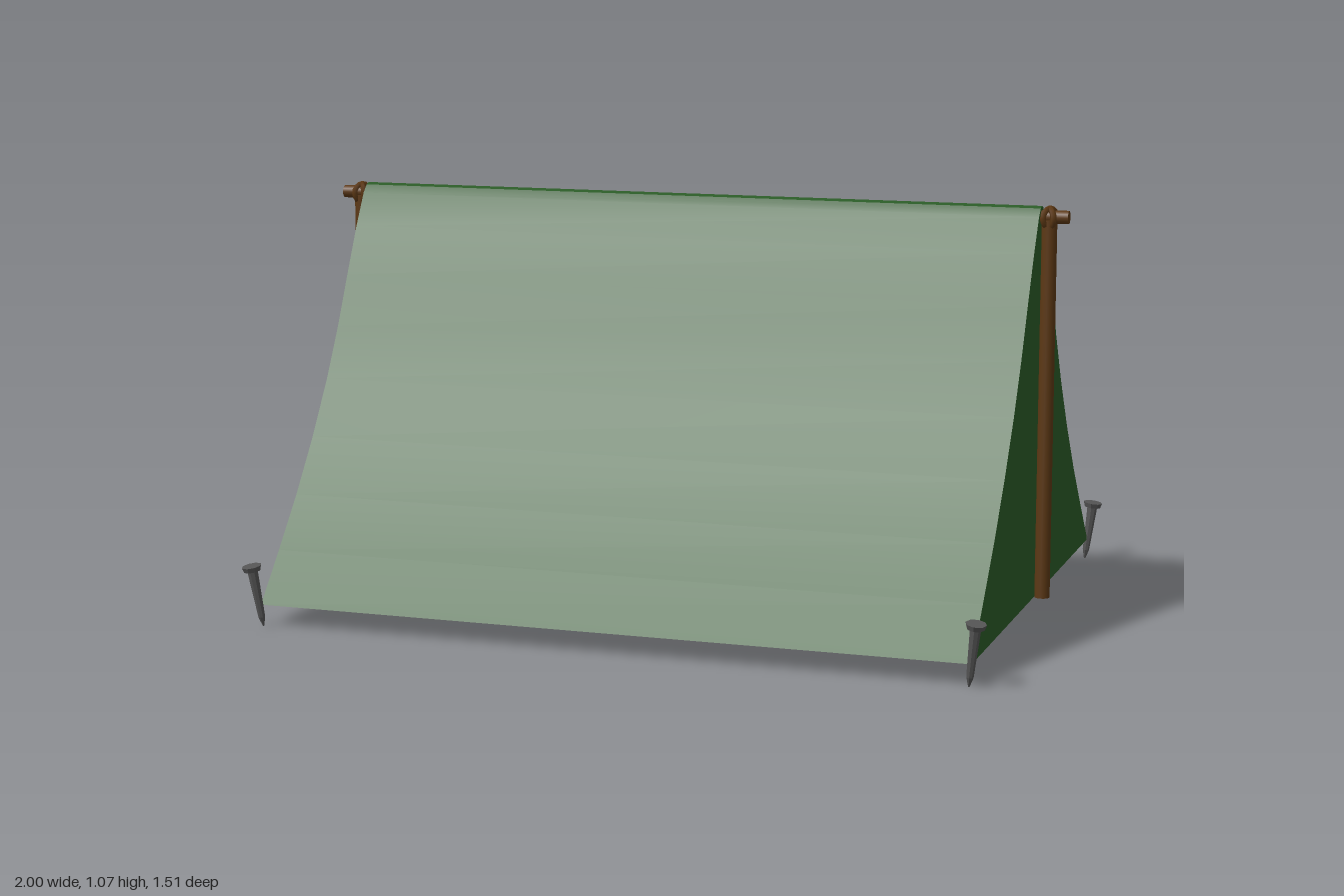
import * as THREE from 'three';
import { toCreasedNormals } from 'three/addons/utils/BufferGeometryUtils.js';

const canvas = new THREE.MeshStandardMaterial({ color: 0x2a5a26 });
const wood = new THREE.MeshStandardMaterial({ color: 0x5c3814 });
const metal = new THREE.MeshStandardMaterial({ color: 0x555555, flatShading: true });

function add(parent, name, geometry, material, x = 0, y = 0, z = 0) {
  const mesh = new THREE.Mesh(geometry, material);
  mesh.name = name;
  mesh.position.set(x, y, z);
  parent.add(mesh);
  return mesh;
}

// Closed tent body: sagging slope profile (z, y), mirrored and extruded along x
function tentBody() {
  const half = [[0.71, 0.06], [0.6, 0.18], [0.49, 0.305], [0.385, 0.44], [0.29, 0.58], [0.215, 0.71],
    [0.15, 0.84], [0.085, 0.965], [0.035, 1.05], [0.015, 1.07]];
  const mirrored = half.map(([z, y]) => [-z, y]).reverse();
  const shape = new THREE.Shape([...half, [0, 1.075], ...mirrored].map(([z, y]) => new THREE.Vector2(z, y)));
  const geometry = new THREE.ExtrudeGeometry(shape, { depth: 1.86, bevelEnabled: false });
  geometry.translate(0, 0, -0.93).rotateY(Math.PI / 2);
  return toCreasedNormals(geometry, 0.45);
}

// Nail-like peg with its tip at the group's origin
function peg() {
  const group = new THREE.Group();
  add(group, 'pegTip', new THREE.CylinderGeometry(0.009, 0.002, 0.025, 8), metal, 0, 0.0125);
  add(group, 'pegShaft', new THREE.CylinderGeometry(0.014, 0.009, 0.13, 8), metal, 0, 0.09);
  add(group, 'pegHead', new THREE.CylinderGeometry(0.026, 0.022, 0.013, 8), metal, 0, 0.156);
  return group;
}

export function createModel() {
  const model = new THREE.Group();
  model.name = 'tent';
  add(model, 'tentCanvas', tentBody(), canvas);

  // Ridge pole with its ends showing past the canvas
  add(model, 'ridgePole', new THREE.CylinderGeometry(0.017, 0.017, 2, 12).rotateZ(Math.PI / 2), wood, 0, 1.048);

  const up = new THREE.Vector3(0, 1, 0);
  for (const sx of [-1, 1]) {
    // Upright pole and crossed rope lashing at each end
    add(model, 'uprightPole', new THREE.CylinderGeometry(0.02, 0.02, 0.98, 12), wood, sx * 0.95, 0.55);
    for (const tilt of [-1, 1]) {
      const lashing = add(model, 'ropeLashing', new THREE.TorusGeometry(0.024, 0.008, 6, 16), wood, sx * 0.95, 1.045);
      lashing.rotation.set(0, Math.PI / 2 + tilt * 0.6, 0);
    }

    // Corner pegs leaning outwards; one leans only sideways
    for (const sz of [-1, 1]) {
      const corner = peg();
      corner.name = 'cornerPeg';
      const leanZ = sx > 0 && sz < 0 ? 0 : 0.02;
      corner.position.set(sx * 0.924, 0.005, sz * 0.71);
      corner.quaternion.setFromUnitVectors(up, new THREE.Vector3(sx * 0.02, 0.16, sz * leanZ).normalize());
      model.add(corner);
    }
  }
  return model;
}
